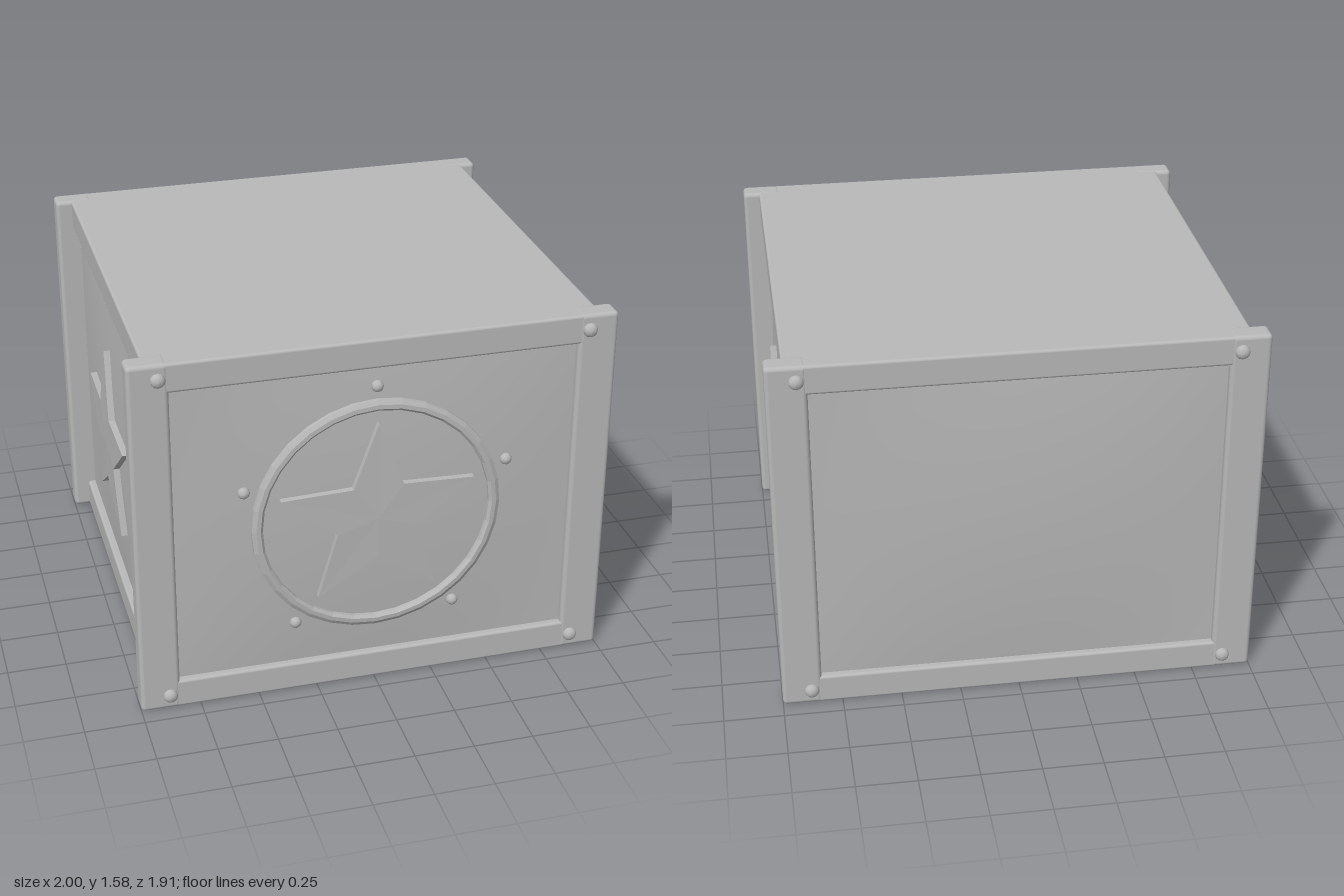
import * as THREE from 'three';
import { RoundedBoxGeometry } from 'three/addons/geometries/RoundedBoxGeometry.js';

const H = 1.58, MID = H / 2;      // crate height and centre height
const PW = 0.85, PH = 0.675;      // half size of the wall panels
const EDGE = 0.897;               // panel distance from the centre at its rim

// gentle outward swelling of a wall panel at (u, v) from its middle
const bulge = (u, v) => 0.03 * Math.max(0, 1 - (u / PW) ** 2) * Math.max(0, 1 - (v / PH) ** 2);

// push every vertex out along z to follow the swollen panel
function bend(geo, offset) {
  const p = geo.attributes.position;
  for (let i = 0; i < p.count; i++) {
    p.setZ(i, p.getZ(i) + offset + bulge(p.getX(i), p.getY(i)));
  }
  geo.computeVertexNormals();
  return geo;
}

// five-pointed star plate: a fan on top and a wall round the rim
function starGeometry(thickness) {
  const rim = [];
  for (let i = 0; i < 10; i++) {
    const r = i % 2 ? 0.18 : 0.426, a = Math.PI / 2 + i * Math.PI / 5;
    rim.push([r * Math.cos(a), r * Math.sin(a)]);
  }
  const pos = [];
  for (let i = 0; i < 10; i++) {
    const [ax, ay] = rim[i], [bx, by] = rim[(i + 1) % 10], t = thickness;
    pos.push(0, 0, t, ax, ay, t, bx, by, t);
    pos.push(ax, ay, 0, bx, by, 0, bx, by, t);
    pos.push(ax, ay, 0, bx, by, t, ax, ay, t);
  }
  const geo = new THREE.BufferGeometry();
  geo.setAttribute('position', new THREE.Float32BufferAttribute(pos, 3));
  return geo;
}

// turned shape whose axis points along +z
function turned(points, segments) {
  const geo = new THREE.LatheGeometry(points.map(([x, y]) => new THREE.Vector2(x, y)), segments);
  return geo.rotateX(Math.PI / 2);
}

export function createModel() {
  const model = new THREE.Group();
  model.name = 'crate';
  const grey = new THREE.MeshStandardMaterial({ color: 0xb8b8b8 });
  grey.name = 'grey';

  const add = (parent, name, geo, x = 0, y = 0, z = 0) => {
    const mesh = new THREE.Mesh(geo, grey);
    mesh.name = name;
    mesh.position.set(x, y, z);
    parent.add(mesh);
    return mesh;
  };

  // lid and base, whose rims form the horizontal rails
  const slab = new RoundedBoxGeometry(1.86, 0.125, 1.856, 3, 0.012);
  add(model, 'lid', slab, 0, H - 0.064, 0);
  add(model, 'base', slab, 0, 0.064, 0);

  // corner posts
  const post = new RoundedBoxGeometry(0.165, H, 0.097, 3, 0.018);
  for (const sx of [-1, 1]) {
    for (const sz of [-1, 1]) add(model, 'cornerPost', post, sx * 0.9175, MID, sz * 0.8815);
  }

  const panel = bend(new THREE.PlaneGeometry(2 * PW, 2 * PH, 16, 14), EDGE);
  const star = bend(starGeometry(0.028), EDGE);
  const ring = bend(turned([
    [0.524, -0.005], [0.524, 0.018], [0.507, 0.027],
    [0.489, 0.027], [0.478, 0.016], [0.478, -0.005],
  ], 32).toNonIndexed(), EDGE);
  const rivet = turned([
    [0.03, -0.01], [0.03, 0.009], [0.025, 0.018], [0.014, 0.025], [0, 0.027],
  ], 12);

  // four walls, each built facing +z and turned into place
  ['front', 'left', 'back', 'right'].forEach((side, i) => {
    const wall = new THREE.Group();
    wall.name = side + 'Wall';
    wall.position.y = MID;
    wall.rotation.y = i * Math.PI / 2;
    model.add(wall);
    add(wall, 'panel', panel);
    if (side !== 'back') add(wall, 'star', star);

    // rivets on the frame corners of the front and back
    if (i % 2 === 0) {
      for (const sx of [-1, 1]) {
        for (const sy of [-1, 1]) add(wall, 'cornerRivet', rivet, sx * 0.878, sy * 0.725, 0.929);
      }
    }

    // round surround and its five rivets on the front
    if (side === 'front') {
      add(wall, 'ring', ring);
      for (let k = 0; k < 5; k++) {
        const a = Math.PI / 2 + k * Math.PI * 0.4;
        const x = 0.578 * Math.cos(a), y = 0.578 * Math.sin(a);
        add(wall, 'ringRivet', rivet, x, y, EDGE + bulge(x, y)).scale.set(0.82, 0.82, 0.95);
      }
    }
  });

  return model;
}
